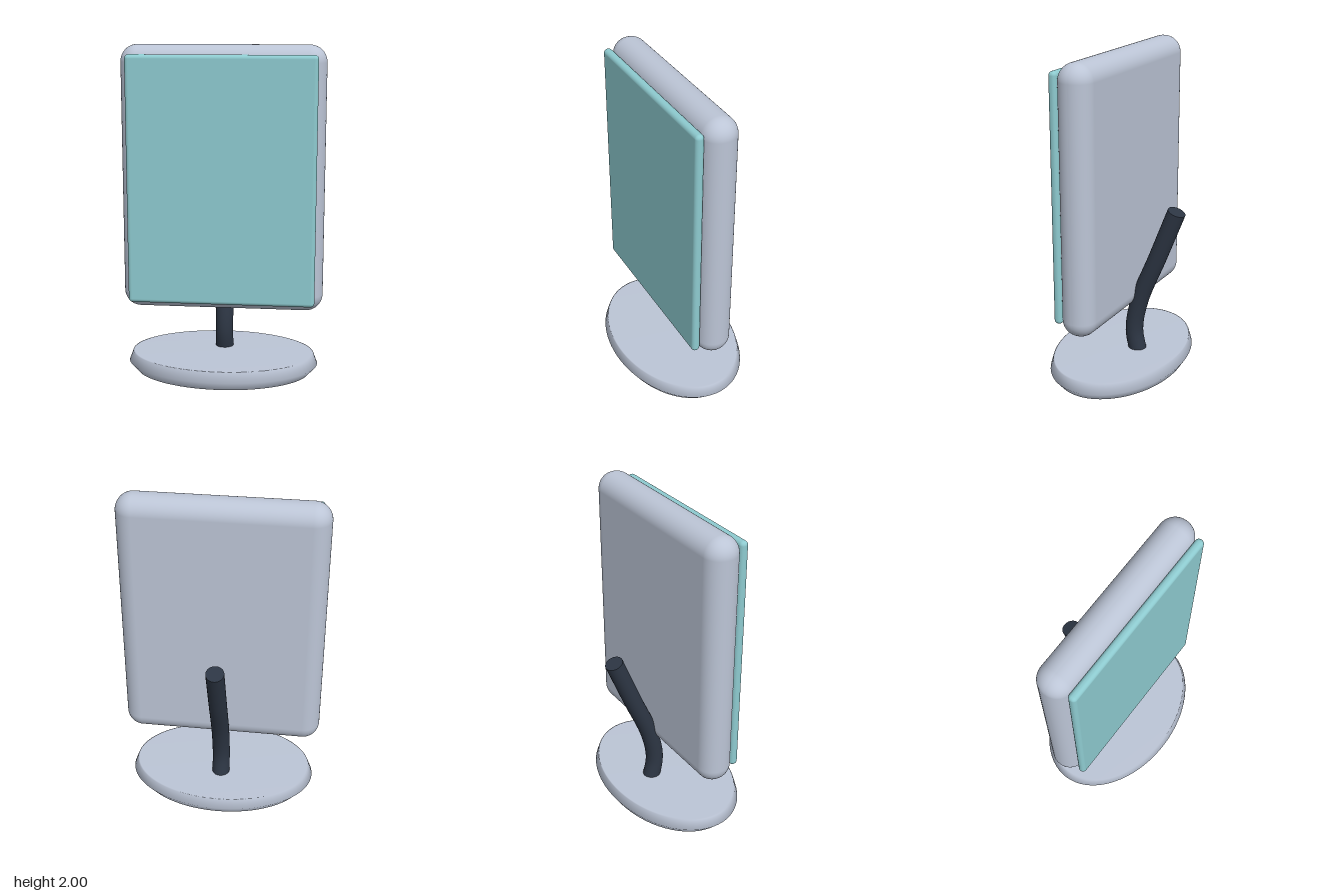
import * as THREE from 'three';
import { RoundedBoxGeometry } from 'three/addons/geometries/RoundedBoxGeometry.js';

export function createModel() {
  const group = new THREE.Group();
  const material = (name, color) => {
    const m = new THREE.MeshStandardMaterial({ color });
    m.name = name;
    return m;
  };
  const casing = material('casing grey', 0xbcc5d6);
  const glass = material('screen teal', 0x8ecbd0);
  const dark = material('stand navy', 0x2d3644);

  const add = (name, geometry, mat, x = 0, y = 0, z = 0) => {
    const mesh = new THREE.Mesh(geometry, mat);
    mesh.name = name;
    mesh.position.set(x, y, z);
    group.add(mesh);
    return mesh;
  };

  // Pillow-edged housing and the raised panel on its front
  add('housing', new RoundedBoxGeometry(1.22, 1.6, 0.212, 8, 0.103), casing, 0, 1.2, 0.004);
  add('screen', new RoundedBoxGeometry(1.125, 1.49, 0.052, 5, 0.024), glass, 0, 1.2, 0.134);

  // Oval foot: flat top and bottom with a bevelled rim
  const rim = [[0, 0], [0.905, 0], [0.92, 0.003], [1, 0.055], [0.96, 0.117], [0.945, 0.12], [0, 0.12]];
  const foot = new THREE.LatheGeometry(rim.map(([r, y]) => new THREE.Vector2(r, y)), 72);
  foot.scale(0.585, 1, 0.397);
  add('foot', foot, casing, 0, 0, 0.007);

  // Bent tube rising behind the housing
  const path = new THREE.CatmullRomCurve3(
    [[0.08, -0.105], [0.24, -0.075], [0.45, -0.113], [0.75, -0.232], [1.062, -0.354]]
      .map(([y, z]) => new THREE.Vector3(0, y, z))
  );
  const radius = 0.055;
  add('stem', new THREE.TubeGeometry(path, 40, radius, 24), dark);

  // Flat cap closing the upper end of the tube
  const end = path.getPoint(1);
  const cap = add('stemCap', new THREE.CircleGeometry(radius, 24), dark, end.x, end.y, end.z);
  cap.quaternion.setFromUnitVectors(new THREE.Vector3(0, 0, 1), path.getTangent(1));

  return group;
}
